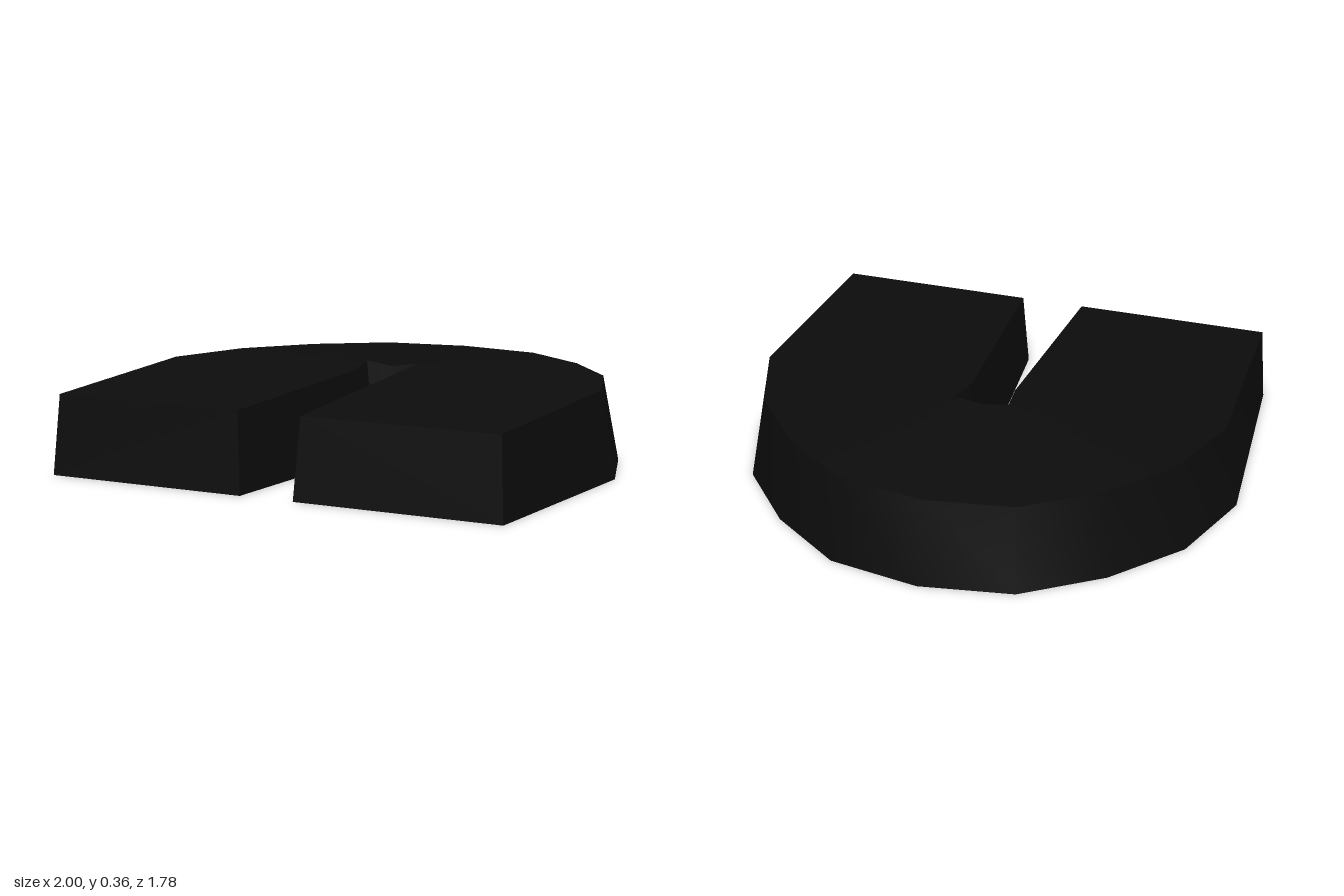
import * as THREE from 'three';
import { toCreasedNormals } from 'three/addons/utils/BufferGeometryUtils.js';

// Half of the horseshoe, front tip to back centre.
// Each section: outer bottom, outer top, inner top, inner bottom as [x, y, z].
const HALF = [
  [[0.93, 0, 0.89], [0.91, 0.31, 0.865], [0.13, 0.31, 0.865], [0.11, 0, 0.89]],
  [[1, 0, 0], [0.94, 0.335, 0], [0.09, 0.34, 0.03], [0.04, 0, 0.03]],
  [[0.88, 0, -0.36], [0.82, 0.335, -0.335], [0.10, 0.35, -0.05], [0.045, 0, -0.02]],
  [[0.65, 0, -0.63], [0.61, 0.335, -0.585], [0.11, 0.36, -0.12], [0.05, 0, -0.07]],
  [[0.36, 0, -0.835], [0.34, 0.335, -0.775], [0.05, 0.352, -0.12], [0.02, 0, -0.07]],
  [[0, 0, -0.895], [0, 0.335, -0.83], [0, 0.345, -0.12], [0, 0, -0.07]],
];

// Skin the sections into a closed solid
function loft(sections) {
  const index = [];
  const last = sections.length - 1;
  for (let s = 0; s < last; s++) {
    for (let k = 0; k < 4; k++) {
      const a = s * 4 + k, c = s * 4 + (k + 1) % 4;
      index.push(a, a + 4, c, a + 4, c + 4, c);
    }
  }
  const e = last * 4;
  index.push(0, 1, 2, 0, 2, 3, e, e + 2, e + 1, e, e + 3, e + 2);
  const geometry = new THREE.BufferGeometry();
  geometry.setAttribute('position', new THREE.Float32BufferAttribute(sections.flat(2), 3));
  geometry.setIndex(index);
  return toCreasedNormals(geometry, 0.8);
}

export function createModel() {
  const black = new THREE.MeshStandardMaterial({ color: 0x0c0c0c });
  black.name = 'black';

  // Mirror the half across x, sharing the back centre section
  const mirrored = HALF.slice(0, -1).reverse().map(s => s.map(([x, y, z]) => [-x, y, z]));
  const body = new THREE.Mesh(loft([...HALF, ...mirrored]), black);
  body.name = 'horseshoeBody';

  const group = new THREE.Group();
  group.name = 'horseshoeBlock';
  group.add(body);
  return group;
}
